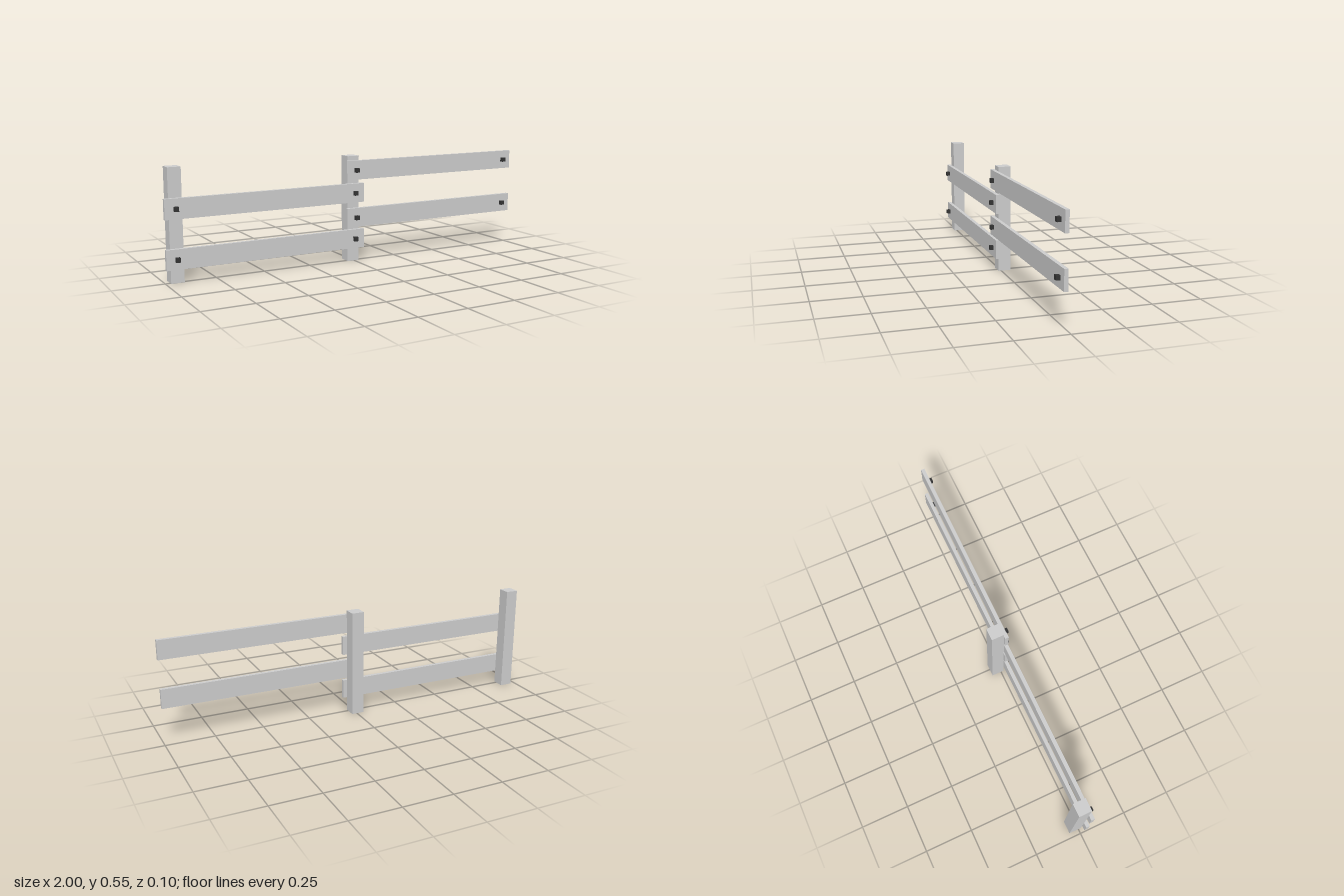
import * as THREE from 'three';

export function createModel() {
  const fence = new THREE.Group();
  fence.name = 'fence';
  const wood = new THREE.MeshStandardMaterial({ color: 0xcccccc, flatShading: true });
  const iron = new THREE.MeshStandardMaterial({ color: 0x333333, flatShading: true });

  const box = (name, parent, material, w, h, d, x, y, z) => {
    const mesh = new THREE.Mesh(new THREE.BoxGeometry(w, h, d), material);
    mesh.name = name;
    mesh.position.set(x, y, z);
    parent.add(mesh);
    return mesh;
  };

  // Upright square posts
  box('endPost', fence, wood, 0.065, 0.548, 0.065, -0.943, 0.274, -0.018);
  box('middlePost', fence, wood, 0.065, 0.548, 0.065, -0.005, 0.274, -0.018);

  // Rails, very slightly tilted, each with a bolt head near both ends
  const rails = [
    ['lowerRightRail', -0.476, 0.1185],
    ['upperRightRail', -0.476, 0.3575],
    ['lowerLeftRail', 0.4735, 0.232],
    ['upperLeftRail', 0.4735, 0.478],
  ];
  for (const [name, x, y] of rails) {
    const rail = new THREE.Group();
    rail.name = name;
    rail.position.set(x, y, 0);
    rail.rotation.z = 0.003;
    fence.add(rail);
    box('plank', rail, wood, 1.048, 0.098, 0.019, 0, 0, 0.0245);
    for (const side of [-1, 1]) {
      box('bolt', rail, iron, 0.021, 0.022, 0.019, side * 0.471, 0, 0.0435);
    }
  }
  return fence;
}
